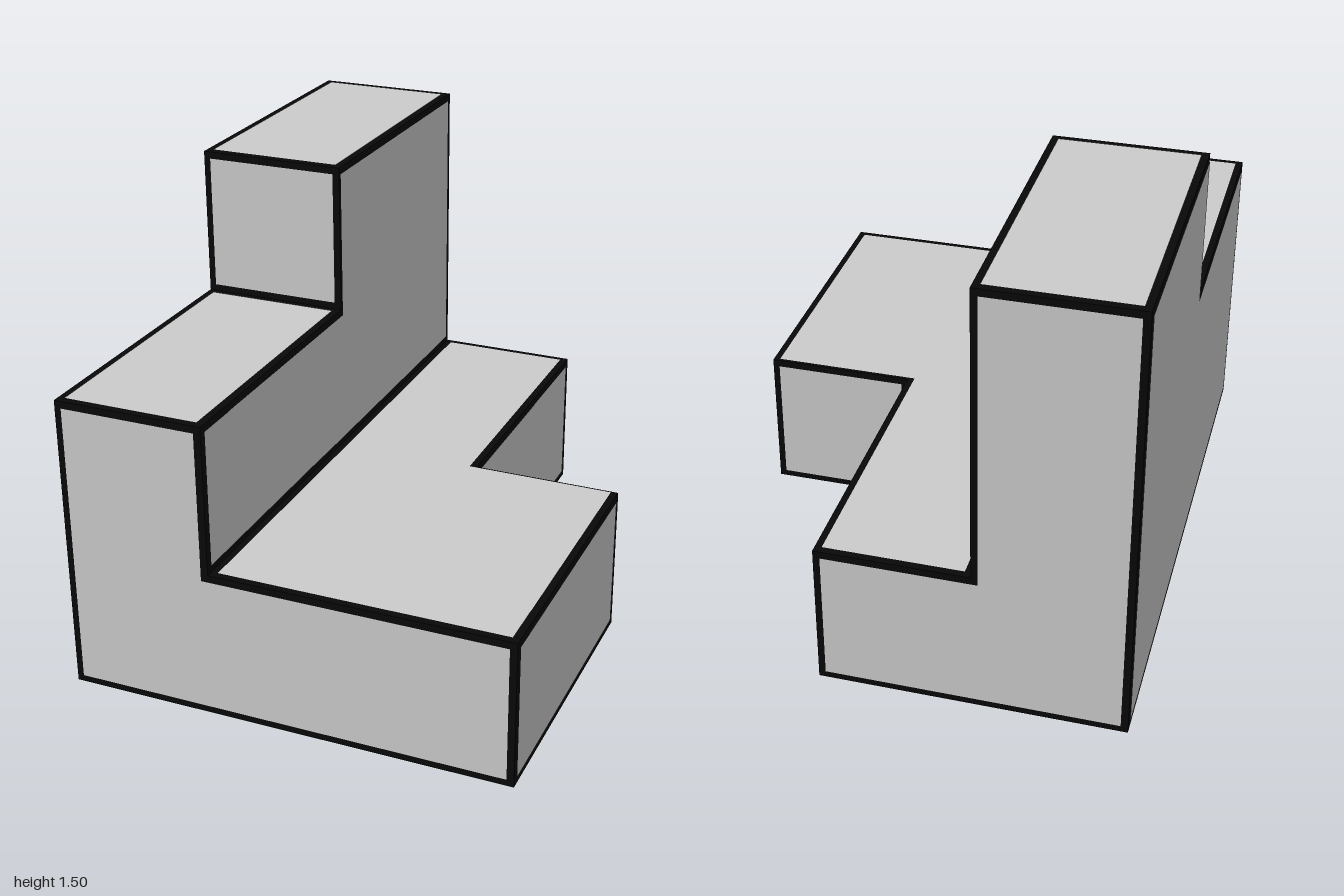
import * as THREE from 'three';

export function createModel() {
  const model = new THREE.Group();
  model.name = 'steppedBlock';
  const black = new THREE.MeshStandardMaterial({ color: 0x080808 });
  black.name = 'edge black';
  const grey = new THREE.MeshStandardMaterial({ color: 0xcccccc });
  grey.name = 'face grey';

  // Black body: its surface shows as the border around each grey panel
  const box = (name, x0, x1, y1, z0, z1) => {
    const m = new THREE.Mesh(new THREE.BoxGeometry(x1 - x0, y1, z1 - z0), black);
    m.position.set((x0 + x1) / 2, y1 / 2, (z0 + z1) / 2);
    m.name = name;
    model.add(m);
  };
  box('tallBlock', -0.75, -0.25, 1.5, -1, 0);
  box('middleStep', -0.75, -0.25, 1, 0, 1);
  box('lowBackStep', -0.25, 0.25, 0.5, -1, 0);
  box('lowFrontStep', -0.25, 0.75, 0.5, 0, 1);

  // Rotation that turns a panel in the xy plane towards each side
  const H = Math.PI / 2;
  const turns = {
    front: [0, 0], back: [0, 2 * H], right: [0, H], left: [0, -H], top: [-H, 0], bottom: [H, 0],
  };

  // Grey panel: counter-clockwise right-angled outline, inset by the border.
  // thinEdge is the index of an edge with a narrower border.
  const panel = (name, side, depth, pts, thinEdge = -1) => {
    const n = pts.length;
    const offset = (i) => {
      const [ax, ay] = pts[i], [bx, by] = pts[(i + 1) % n];
      const w = i === thinEdge ? 0.009 : 0.023;
      return [-Math.sign(by - ay) * w, Math.sign(bx - ax) * w];
    };
    const shape = new THREE.Shape(pts.map(([x, y], i) => {
      const p = offset((i + n - 1) % n), q = offset(i);
      return new THREE.Vector2(x + p[0] + q[0], y + p[1] + q[1]);
    }));
    const [rx, ry] = turns[side];
    const geo = new THREE.ShapeGeometry(shape).translate(0, 0, depth + 0.002).rotateX(rx).rotateY(ry);
    const m = new THREE.Mesh(geo, grey);
    m.name = name;
    model.add(m);
  };
  const rect = (x0, y0, x1, y1) => [[x0, y0], [x1, y0], [x1, y1], [x0, y1]];

  // Front and back
  panel('frontPanel', 'front', 1,
    [[-0.75, 0], [0.75, 0], [0.75, 0.5], [-0.25, 0.5], [-0.25, 1], [-0.75, 1]]);
  panel('tallFrontPanel', 'front', 0, rect(-0.75, 1, -0.25, 1.5));
  panel('backPanel', 'back', 1,
    [[-0.25, 0], [0.75, 0], [0.75, 1.5], [0.25, 1.5], [0.25, 0.5], [-0.25, 0.5]]);
  panel('notchBackPanel', 'back', 0, rect(-0.75, 0, -0.25, 0.5));

  // Sides
  panel('outerWallPanel', 'left', 0.75,
    [[-1, 0], [1, 0], [1, 1], [0, 1], [0, 1.5], [-1, 1.5]], 3);
  panel('innerWallPanel', 'right', -0.25,
    [[-1, 0.5], [1, 0.5], [1, 1.5], [0, 1.5], [0, 1], [-1, 1]], 3);
  panel('notchSidePanel', 'right', 0.25, rect(0, 0, 1, 0.5));
  panel('lowSidePanel', 'right', 0.75, rect(-1, 0, 0, 0.5));

  // Tops and underside
  panel('tallTopPanel', 'top', 1.5, rect(-0.75, 0, -0.25, 1));
  panel('middleTopPanel', 'top', 1, rect(-0.75, -1, -0.25, 0));
  panel('lowTopPanel', 'top', 0.5,
    [[-0.25, -1], [0.75, -1], [0.75, 0], [0.25, 0], [0.25, 1], [-0.25, 1]], 2);
  panel('undersidePanel', 'bottom', 0,
    [[-0.75, -1], [0.25, -1], [0.25, 0], [0.75, 0], [0.75, 1], [-0.75, 1]], 2);

  return model;
}
